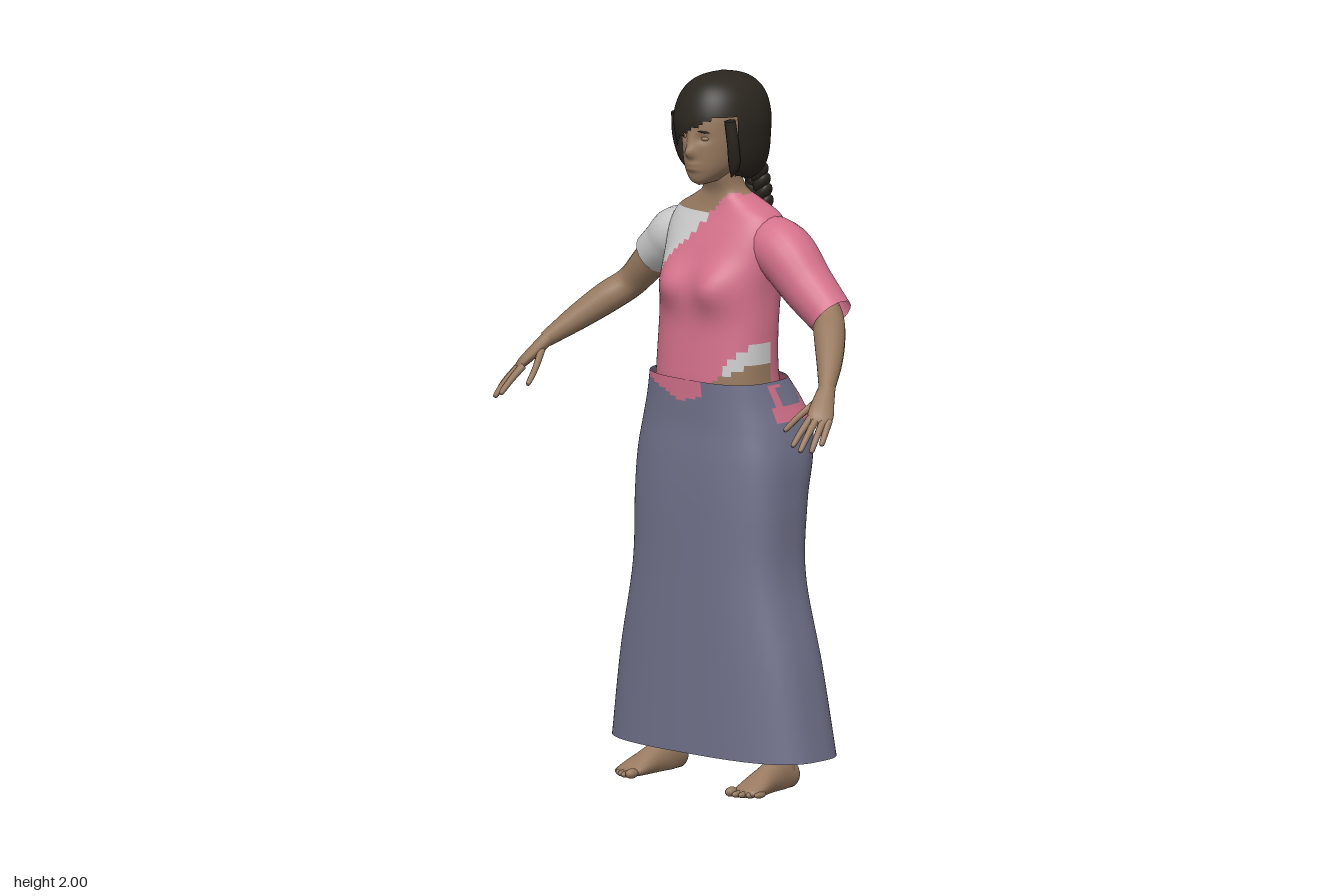
import * as THREE from 'three';

const COLORS = { skin: 0x97795f, pink: 0xd4718b, white: 0xcccccc, slate: 0x72728c, hair: 0x2b261f };
const MATS = {};
for (const k in COLORS) MATS[k] = new THREE.MeshStandardMaterial({ color: COLORS[k], roughness: 0.85, side: THREE.DoubleSide });

const V = (x, y, z) => new THREE.Vector3(x, y, z);
const bell = (d, w) => Math.exp(-(d * d) / (w * w));

// Smooth skin through rows [x, y, z, radiusN, radiusB, exponent].
// paint(p) gives each face a colour key, or null to leave it out.
function loft(name, rows, paint, { ref = V(0, 0, 1), flat = false, seg = 16, steps = 5, bump } = {}) {
  const group = new THREE.Group();
  group.name = name;
  const spline = (pts) => new THREE.CatmullRomCurve3(pts, false, 'catmullrom');
  const path = spline(rows.map((r) => V(r[0], r[1], r[2])));
  const size = spline(rows.map((r) => V(r[3], r[4] ?? r[3], r[5] ?? 2)));
  const n = (rows.length - 1) * steps;
  const pts = [], index = {};
  for (let i = 0; i <= n; i++) {
    const c = path.getPoint(i / n), s = size.getPoint(i / n);
    const T = flat ? V(0, 1, 0) : path.getTangent(i / n);
    const N = T.clone().cross(ref).normalize(), B = N.clone().cross(T);
    for (let j = 0; j < seg; j++) {
      const a = (j / seg) * Math.PI * 2;
      const round = (v) => Math.sign(v) * Math.pow(Math.abs(v), 2 / s.z);
      const p = c.clone().addScaledVector(N, round(Math.cos(a)) * Math.max(s.x, 0))
        .addScaledVector(B, round(Math.sin(a)) * Math.max(s.y, 0));
      if (bump) bump(p, Math.sin(a));
      pts.push(p);
    }
  }
  const all = [];
  for (let i = 0; i < n; i++) for (let j = 0; j < seg; j++) {
    const k = (j + 1) % seg;
    const a = i * seg + j, b = i * seg + k, c = a + seg, d = b + seg;
    const quad = [a, c, b, b, c, d];
    all.push(...quad);
    const mid = pts[a].clone().add(pts[d]).multiplyScalar(0.5);
    const key = typeof paint === 'string' ? paint : paint(mid);
    if (key) (index[key] ??= []).push(...quad);
  }
  const whole = new THREE.BufferGeometry().setFromPoints(pts);
  whole.setIndex(all);
  whole.computeVertexNormals();
  for (const key in index) {
    const g = whole.clone();
    g.setIndex(index[key]);
    const mesh = new THREE.Mesh(g, MATS[key]);
    mesh.name = `${name} ${key}`;
    group.add(mesh);
  }
  return group;
}

// Horizontal rows [y, halfWidth, zFront, zBack]
const level = (rows, e) => rows.map(([y, w, f, b]) => [0, y, (f + b) / 2, w, (f - b) / 2, e]);

function ball(name, key, p, r, rot = [0, 0, 0]) {
  const m = new THREE.Mesh(new THREE.SphereGeometry(1, 14, 10), MATS[key]);
  m.name = name;
  m.position.set(...p);
  m.scale.set(...r);
  m.rotation.set(...rot);
  return m;
}

// Draped cloth over a short blouse, with bare neck and midriff
function torsoPaint({ x, y, z }) {
  if (z > -0.06) {
    if (x > 0.05 && y < 1.13 + (x - 0.05) * 0.55) return 'skin';
    if (x > 0.115 && y < 1.19 + (x - 0.115) * 1.1) return 'white';
    if (x > -0.18 + (y - 1.37) * 0.79) return y > 1.665 ? 'skin' : 'pink';
    return y > 1.605 ? 'skin' : 'white';
  }
  if (x > 0.03) return y > 1.655 ? 'skin' : 'pink';
  if (x < -0.16 && y < 1.38) return 'pink';
  return y > 1.6 || y < 1.19 ? 'skin' : 'white';
}

function skirtPaint({ x, y, z }) {
  if (z > 0 && x < 0.05 && y > 1.085 + 0.35 * Math.abs(x + 0.01)) return 'pink';
  const patch = x > 0.06 && z < -0.03 && y > 1.04 && y < 1.14;
  return patch && !(y > 1.08 && z < -0.06 && z > -0.15) ? 'pink' : 'slate';
}

function makeArm(s) {
  const g = new THREE.Group();
  g.name = s > 0 ? 'leftArm' : 'rightArm';
  const side = (rows) => rows.map(([x, ...r]) => [x * s, ...r]);
  g.add(loft('arm', side([[0.15, 1.53, -0.09, 0.07], [0.24, 1.475, -0.09, 0.058], [0.31, 1.41, -0.09, 0.05],
    [0.37, 1.35, -0.085, 0.044], [0.42, 1.305, -0.04, 0.044], [0.475, 1.25, 0.02, 0.036], [0.53, 1.19, 0.09, 0.022]]), 'skin'));
  const sleeve = s > 0
    ? [[0.1, 1.54, -0.09, 0.07], [0.2, 1.51, -0.09, 0.084], [0.29, 1.425, -0.092, 0.075], [0.38, 1.35, -0.092, 0.064]]
    : [[0.1, 1.53, -0.09, 0.065], [0.19, 1.51, -0.09, 0.078], [0.24, 1.475, -0.09, 0.07], [0.29, 1.44, -0.09, 0.06]];
  g.add(loft('sleeve', side(sleeve), s > 0 ? 'pink' : 'white', { seg: 20 }));
  // Hand
  g.add(loft('palm', side([[0.525, 1.197, 0.082, 0.02, 0.023], [0.542, 1.165, 0.115, 0.018, 0.03],
    [0.562, 1.13, 0.15, 0.014, 0.036], [0.571, 1.112, 0.168, 0.004, 0.022]]), 'skin',
  { ref: V(0.75 * s, -0.2, -0.63).normalize(), seg: 12 }));
  const fingers = [
    [[0.522, 1.165, 0.115], [0.498, 1.125, 0.165], [0.485, 1.09, 0.208]],
    [[0.543, 1.125, 0.17], [0.547, 1.09, 0.215], [0.55, 1.06, 0.248]],
    [[0.56, 1.118, 0.17], [0.57, 1.08, 0.215], [0.575, 1.048, 0.245]],
    [[0.575, 1.115, 0.155], [0.588, 1.078, 0.195], [0.594, 1.045, 0.22]],
    [[0.583, 1.118, 0.138], [0.595, 1.085, 0.168], [0.6, 1.06, 0.186]],
  ];
  for (const [a, b, c] of fingers) {
    const tip = c.map((v, i) => v + (v - b[i]) * 0.08);
    g.add(loft('finger', side([[...a, 0.011], [...b, 0.009], [...c, 0.007], [...tip, 0]]), 'skin', { seg: 8, steps: 3 }));
  }
  return g;
}

function makeLeg(s) {
  const g = new THREE.Group();
  g.name = s > 0 ? 'leftLeg' : 'rightLeg';
  const side = (rows) => rows.map(([x, ...r]) => [x * s, ...r]);
  g.add(loft('leg', side([[0.11, 0.95, -0.07, 0.1], [0.14, 0.6, -0.06, 0.072], [0.175, 0.36, -0.08, 0.058],
    [0.2, 0.16, -0.08, 0.034], [0.21, 0.05, -0.08, 0.033]]), 'skin'));
  g.add(loft('foot', side([[0.21, 0.035, -0.13, 0.004], [0.21, 0.036, -0.115, 0.027, 0.034], [0.21, 0.045, -0.06, 0.034, 0.055],
    [0.215, 0.035, 0, 0.037, 0.042], [0.221, 0.022, 0.06, 0.046, 0.024], [0.222, 0.015, 0.095, 0.038, 0.013],
    [0.222, 0.015, 0.105, 0.01, 0.004]]), 'skin',
  { ref: V(0, 1, 0), bump: (p) => { p.y = Math.max(p.y, 0.004); } }));
  for (let i = 0; i < 5; i++) {
    const r = i ? 0.0095 : 0.014;
    g.add(ball('toe', 'skin', [s * (0.188 + i * 0.018 + (i ? 0.003 : 0)), r + 0.003, 0.108 - i * i * 0.0022], [r, r, 0.022]));
  }
  return g;
}

function makeHead() {
  const g = new THREE.Group();
  g.name = 'head';
  // Face with nose, lips, eye sockets and cheeks raised from the surface
  g.add(loft('face', level([[1.69, 0.006, 0.04, 0.0], [1.703, 0.035, 0.058, -0.04], [1.735, 0.062, 0.066, -0.09],
    [1.78, 0.077, 0.07, -0.13], [1.84, 0.084, 0.07, -0.15], [1.9, 0.082, 0.06, -0.15], [1.96, 0.05, 0.02, -0.1],
    [1.98, 0.002, -0.03, -0.04]], 2.2), 'skin', {
    flat: true, seg: 72, steps: 8,
    bump: (p, front) => {
      if (front < 0) return;
      p.z += 0.022 * bell(p.x, 0.014) * bell(p.y - 1.785, 0.016) + 0.011 * bell(p.x, 0.011) * bell(p.y - 1.812, 0.025)
        + 0.007 * bell(p.x, 0.025) * (bell(p.y - 1.752, 0.007) + bell(p.y - 1.738, 0.007))
        - 0.009 * bell(Math.abs(p.x) - 0.034, 0.018) * bell(p.y - 1.826, 0.012);
    },
  }));
  for (const s of [-1, 1]) {
    g.add(ball('eyelid', 'skin', [s * 0.034, 1.826, 0.052], [0.014, 0.007, 0.008]));
    g.add(ball('eyebrow', 'hair', [s * 0.035, 1.846, 0.059], [0.019, 0.003, 0.005], [0, s * 0.35, -s * 0.1]));
  }
  // Hair cap, open over the face with a fringe swept to one side
  g.add(loft('hair', level([[1.685, 0.045, -0.02, -0.14], [1.715, 0.088, 0.03, -0.18], [1.76, 0.108, 0.065, -0.198],
    [1.82, 0.119, 0.08, -0.2], [1.88, 0.121, 0.086, -0.2], [1.94, 0.103, 0.066, -0.183], [1.98, 0.063, 0.025, -0.14],
    [2.0, 0.002, -0.05, -0.06]], 2.15), ({ x, y, z }) => (z > -0.005 && y < Math.min(1.895, 1.845 + 0.6 * x)
      || (z > -0.1 && y < 1.725 + z * 0.3) ? null : 'hair'), { flat: true, seg: 64, steps: 6 }));
  for (const s of [-1, 1]) {
    g.add(loft('sideLock', [[s * 0.1, 1.88, 0.02, 0.016], [s * 0.103, 1.81, 0.01, 0.017], [s * 0.093, 1.75, -0.005, 0.016],
      [s * 0.078, 1.715, -0.01, 0.002]], 'hair', { seg: 10 }));
  }
  return g;
}

// Braid of paired, crossing locks
function makeBraid() {
  const g = new THREE.Group();
  g.name = 'braid';
  const curve = new THREE.CatmullRomCurve3([V(0, 1.74, -0.175), V(0, 1.62, -0.21), V(0, 1.48, -0.222), V(0, 1.34, -0.21)]);
  const n = 12;
  for (let i = 0; i < n; i++) for (const s of [-1, 1]) {
    const t = (i + (s > 0 ? 0.5 : 0)) / n, p = curve.getPoint(t), k = 1 - 0.45 * t * t;
    g.add(ball('braidLock', 'hair', [s * 0.017 * k, p.y, p.z], [0.019 * k, 0.034 * k, 0.026 * k], [0, 0, -s * 0.65]));
  }
  g.add(loft('braidEnd', [[0, 1.36, -0.21, 0.016], [0, 1.325, -0.207, 0.02], [0, 1.28, -0.2, 0.002]], 'hair', { seg: 10 }));
  return g;
}

export function createModel() {
  const model = new THREE.Group();
  model.name = 'woman';
  model.add(loft('torso', level([[1.06, 0.2, 0.08, -0.19], [1.13, 0.188, 0.09, -0.17], [1.2, 0.184, 0.086, -0.162],
    [1.3, 0.182, 0.078, -0.165], [1.4, 0.178, 0.078, -0.185], [1.5, 0.188, 0.045, -0.197], [1.56, 0.188, 0.018, -0.187],
    [1.605, 0.165, -0.004, -0.17], [1.64, 0.105, -0.015, -0.145], [1.67, 0.062, -0.015, -0.12], [1.72, 0.052, 0.005, -0.105],
    [1.77, 0.05, 0.005, -0.1]], 2.4), torsoPaint, {
    flat: true, seg: 72, steps: 5,
    bump: (p, front) => {
      if (front > 0) p.z += 0.034 * front * bell(Math.abs(p.x) - 0.085, 0.06) * bell(p.y - 1.415, 0.06);
      else p.z += 0.012 * bell(p.x, 0.04) * bell(p.y - 1.35, 0.2);
    },
  }));
  model.add(loft('skirt', level([[0.1, 0.362, 0.1, -0.23], [0.35, 0.322, 0.1, -0.208], [0.6, 0.268, 0.1, -0.19],
    [0.8, 0.262, 0.1, -0.205], [0.92, 0.258, 0.097, -0.235], [1.01, 0.242, 0.092, -0.25], [1.08, 0.22, 0.092, -0.225],
    [1.15, 0.2, 0.093, -0.178]], 2.9), skirtPaint, {
    flat: true, seg: 80, steps: 8,
    bump: (p, front) => { if (front < 0) p.z += 0.014 * bell(p.x, 0.035) * bell(p.y - 1.0, 0.1); },
  }));
  for (const s of [-1, 1]) model.add(makeArm(s), makeLeg(s));
  model.add(makeHead(), makeBraid());
  return model;
}
